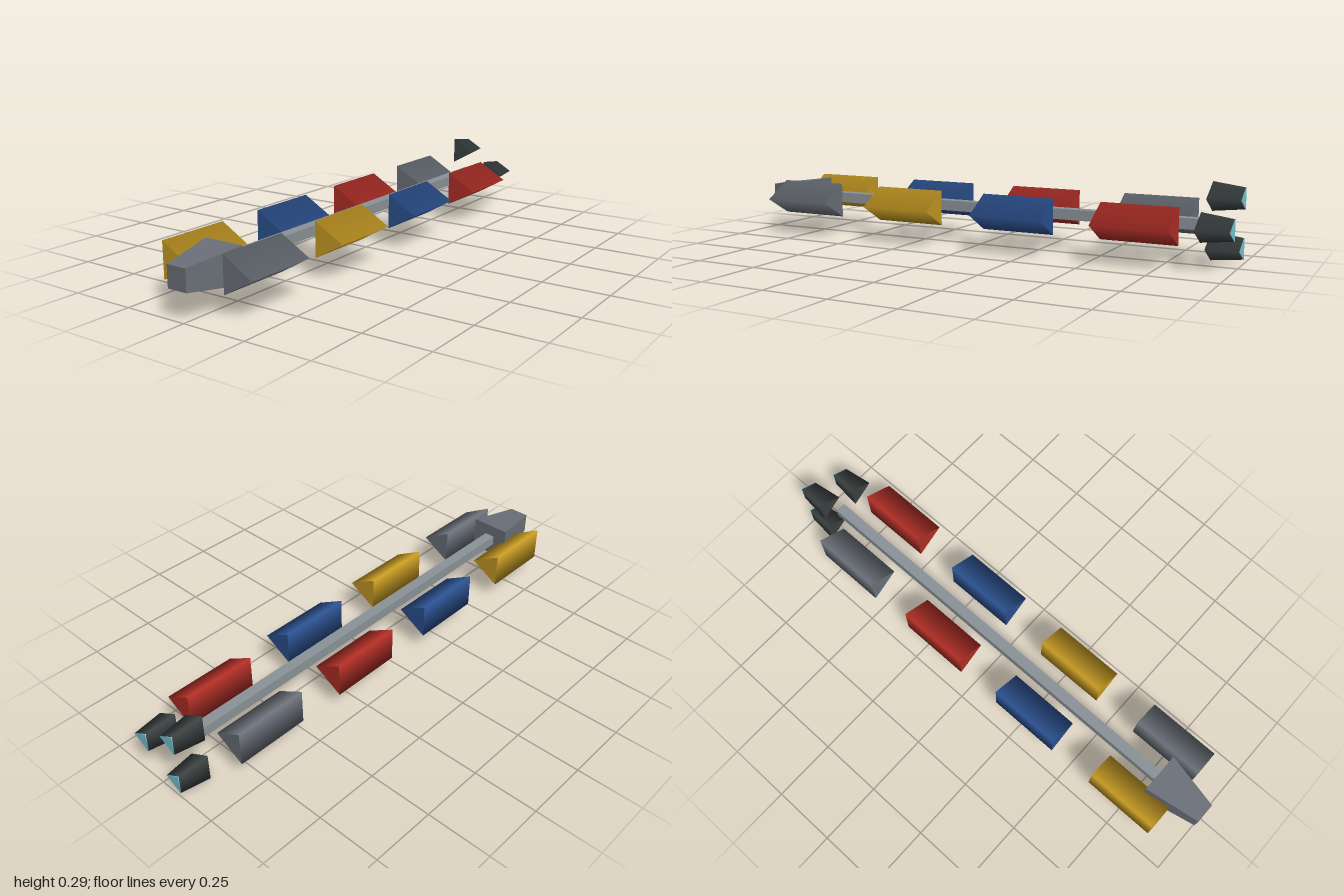
import * as THREE from 'three';

const paint = (name, color) => {
  const m = new THREE.MeshStandardMaterial({ color });
  m.name = name;
  return m;
};

export function createModel() {
  const grey = paint('hull grey', 0x6b7079);
  const steel = paint('spine steel', 0x8c9499);
  const yellow = paint('cargo yellow', 0xc69a22);
  const blue = paint('cargo blue', 0x2c5190);
  const red = paint('cargo red', 0xb02e26);
  const dark = paint('engine dark', 0x3b4141);
  const teal = paint('engine glow', 0x7cc8da);

  const ship = new THREE.Group();
  ship.name = 'cargoShip';
  const cx = -0.021, cy = 0.147; // axis of the ship

  const add = (name, geometry, material, x, y, z) => {
    const mesh = new THREE.Mesh(geometry, material);
    mesh.name = name;
    mesh.position.set(x, y, z);
    ship.add(mesh);
    return mesh;
  };

  // Smooth three-sided prism along z, one edge pointing to +x
  const prism = (frontR, backR, length) =>
    new THREE.CylinderGeometry(frontR, backR, length, 3, 1, false, Math.PI / 2).rotateX(Math.PI / 2);

  // Central spine
  add('spine', new THREE.BoxGeometry(0.042, 0.04, 1.68), steel, cx, cy, -0.04);

  // Command module: a box tapering towards the front
  const nose = new THREE.BoxGeometry(0.16, 0.134, 0.216);
  const p = nose.attributes.position;
  for (let i = 0; i < p.count; i++) {
    if (p.getZ(i) > 0) p.setXY(i, p.getX(i) * 0.5, p.getY(i) * 0.6);
  }
  nose.computeVertexNormals();
  add('commandModule', nose, grey, cx, cy, 0.892);

  // Cargo containers in two rows, front to back
  const container = prism(0.0785, 0.0785, 0.287);
  const rows = { left: [grey, yellow, blue, red], right: [yellow, blue, red, grey] };
  for (const [side, colours] of Object.entries(rows)) {
    const x = cx + (side === 'left' ? 0.1325 : -0.1325);
    colours.forEach((m, i) => add(`${side}Container${i + 1}`, container, m, x, cy, 0.747 - i * 0.471));
  }

  // Three engines in a ring, each with a glowing rear plate
  const engine = prism(0.062, 0.045, 0.117);
  const glow = prism(0.045, 0.045, 0.003);
  for (let i = 0; i < 3; i++) {
    const a = (i * Math.PI * 2) / 3;
    const x = cx + 0.104 * Math.cos(a), y = cy + 0.104 * Math.sin(a);
    add(`engine${i + 1}`, engine, dark, x, y, -0.9385);
    add(`engineGlow${i + 1}`, glow, teal, x, y, -0.9985);
  }

  return ship;
}
